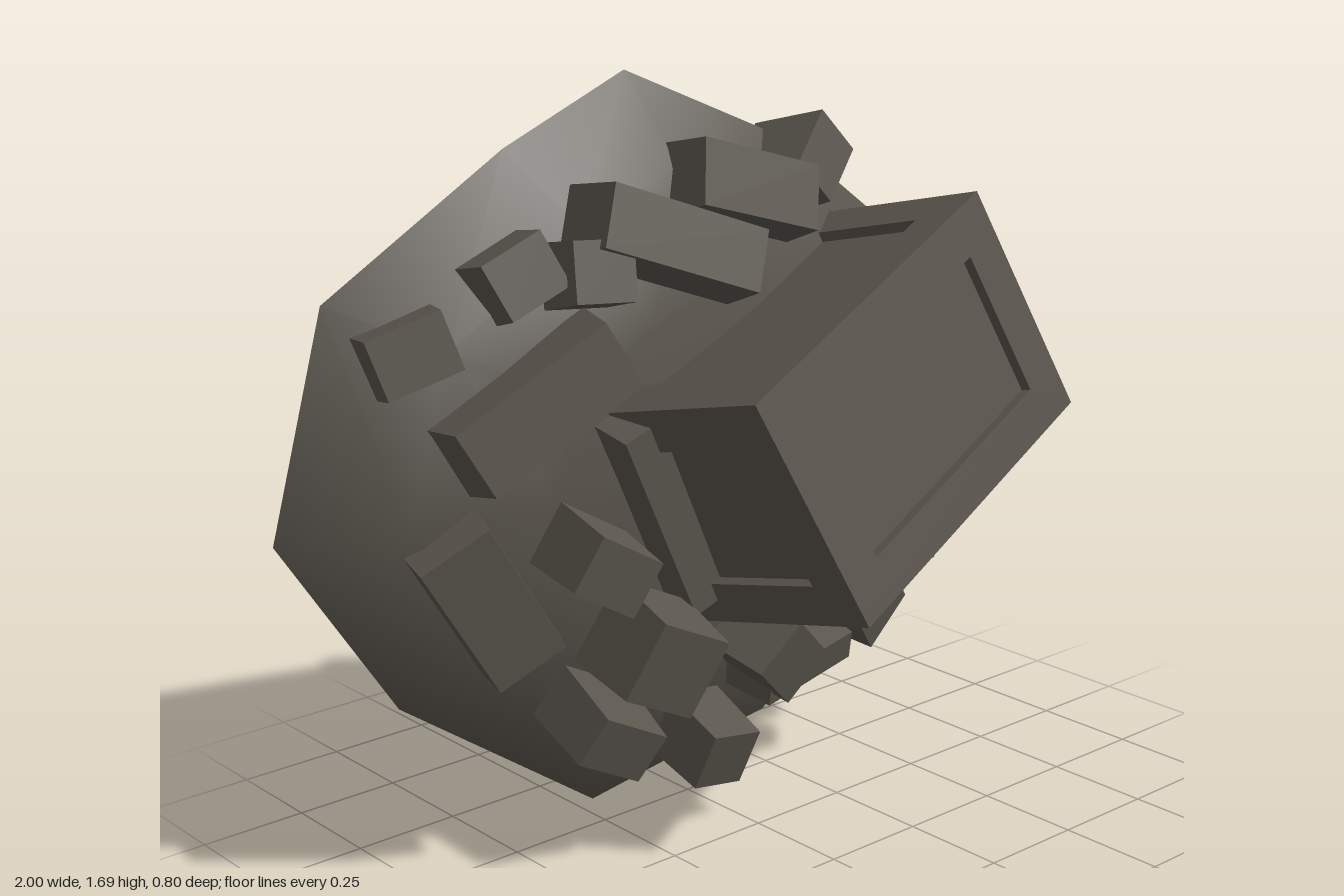
import * as THREE from 'three';

const stone = new THREE.MeshStandardMaterial({ color: 0x5a554d });
stone.name = 'dark stone';
stone.side = THREE.DoubleSide;

const MIDDLE_Y = 0.85;

// Open shallow mound, lofted from an angular rim to a raised middle
function makeMound() {
  const rim = [[-1, 0.8], [-0.72, 0.37], [-0.2, 0], [0.34, 0.08], [0.76, 0.46], [1, 1.07],
    [0.42, 1.49], [-0.07, 1.69], [-0.4, 1.55], [-0.86, 1.28]];
  const rings = [[1, -0.36], [0.77, -0.2], [0.45, -0.14], [0, -0.12]];
  const n = rim.length, pos = [], index = [];
  for (const [s, z] of rings) {
    for (const [x, y] of rim) pos.push(x * s, MIDDLE_Y + (y - MIDDLE_Y) * s, z);
  }
  for (let r = 0; r < rings.length - 1; r++) {
    for (let i = 0; i < n; i++) {
      const a = r * n + i, b = r * n + (i + 1) % n;
      index.push(a, b, b + n);
      if (r < rings.length - 2) index.push(a, b + n, a + n);
    }
  }
  const g = new THREE.BufferGeometry();
  g.setAttribute('position', new THREE.Float32BufferAttribute(pos, 3));
  g.setIndex(index);
  g.computeVertexNormals();
  const mound = new THREE.Mesh(g, stone);
  mound.name = 'mound';
  return mound;
}

// Rectangular frame whose hole reveals a sunken panel
function frameGeometry(w, h, margin, depth) {
  const rect = (P, a, b) => {
    const p = new P();
    p.moveTo(-a, -b); p.lineTo(a, -b); p.lineTo(a, b); p.lineTo(-a, b); p.closePath();
    return p;
  };
  const shape = rect(THREE.Shape, w / 2, h / 2);
  shape.holes.push(rect(THREE.Path, w / 2 - margin, h / 2 - margin));
  return new THREE.ExtrudeGeometry(shape, { depth, bevelEnabled: false });
}

// Large tilted block with a recessed panel on every face
function makeLargeBlock() {
  const W = 0.84, H = 0.56, D = 0.56, recess = 0.025;
  const group = new THREE.Group();
  group.name = 'largeBlock';
  const core = new THREE.Mesh(
    new THREE.BoxGeometry(W - 2 * recess, H - 2 * recess, D - 2 * recess), stone);
  core.name = 'sunkenPanels';
  group.add(core);
  const faces = [
    [W, H, D, 0, 0], [W, H, D, 0, Math.PI],
    [D, H, W, 0, Math.PI / 2], [D, H, W, 0, -Math.PI / 2],
    [W, D, H, -Math.PI / 2, 0], [W, D, H, Math.PI / 2, 0],
  ];
  for (const [w, h, d, rx, ry] of faces) {
    const frame = new THREE.Mesh(frameGeometry(w, h, 0.105, recess), stone);
    frame.name = 'panelFrame';
    frame.rotation.set(rx, ry, 0);
    frame.translateZ(d / 2 - recess);
    group.add(frame);
  }
  const n = new THREE.Vector3(0.06, 0.22, 0.974).normalize();
  const u = new THREE.Vector3(0.91, 0.39, -0.14);
  u.addScaledVector(n, -u.dot(n)).normalize();
  const v = new THREE.Vector3().crossVectors(n, u);
  group.quaternion.setFromRotationMatrix(new THREE.Matrix4().makeBasis(u, v, n));
  group.position.set(0.2, 0.953, 0.018);
  return group;
}

// Roughly cut stone, narrower toward its outer face and leaning away from the middle
function makeRubble([x, y, z, w, h, turn]) {
  const depth = w > 0.25 ? 0.15 : 0.2; // long stones lie flatter
  const g = new THREE.BoxGeometry(w, h, depth);
  const p = g.attributes.position;
  for (let i = 0; i < p.count; i++) {
    const s = p.getZ(i) > 0 ? 0.93 : 1.03;
    p.setXY(i, p.getX(i) * s, p.getY(i) * s);
  }
  g.computeVertexNormals();
  const m = new THREE.Mesh(g, stone);
  m.name = 'rubble';
  m.rotation.set((MIDDLE_Y - y) * 0.5, x * 0.5, THREE.MathUtils.degToRad(turn));
  m.position.set(x, y, z);
  return m;
}

export function createModel() {
  const model = new THREE.Group();
  model.name = 'rubblePile';
  model.add(makeMound(), makeLargeBlock());

  // x, y, z, width, height, turn in degrees
  const stones = [
    [-0.73, 1.18, -0.26, 0.18, 0.14, 15],
    [-0.51, 1.06, -0.11, 0.42, 0.17, 28],
    [-0.5, 1.31, -0.21, 0.16, 0.14, 22],
    [-0.36, 1.31, -0.14, 0.15, 0.14, -6],
    [-0.17, 1.36, -0.09, 0.42, 0.15, -22],
    [0.1, 1.43, -0.17, 0.36, 0.16, -16],
    [0.35, 1.45, -0.27, 0.18, 0.14, 42],
    [0.84, 0.91, -0.24, 0.15, 0.17, -6],
    [0.66, 0.65, -0.15, 0.33, 0.17, 53],
    [0.31, 0.55, -0.06, 0.38, 0.15, 4],
    [0.1, 0.39, -0.09, 0.17, 0.16, -45],
    [0.22, 0.32, -0.14, 0.3, 0.08, 8],
    [0.44, 0.41, -0.16, 0.17, 0.12, 40],
    [-0.05, 0.19, -0.14, 0.15, 0.15, -10],
    [-0.36, 0.31, -0.11, 0.19, 0.13, -26],
    [-0.3, 0.5, 0, 0.2, 0.2, -25],
    [-0.44, 0.73, -0.01, 0.17, 0.14, -30],
    [-0.62, 0.65, -0.17, 0.36, 0.18, -58],
    [-0.2, 0.77, -0.1, 0.5, 0.1, -66],
  ];
  for (const s of stones) model.add(makeRubble(s));
  return model;
}
